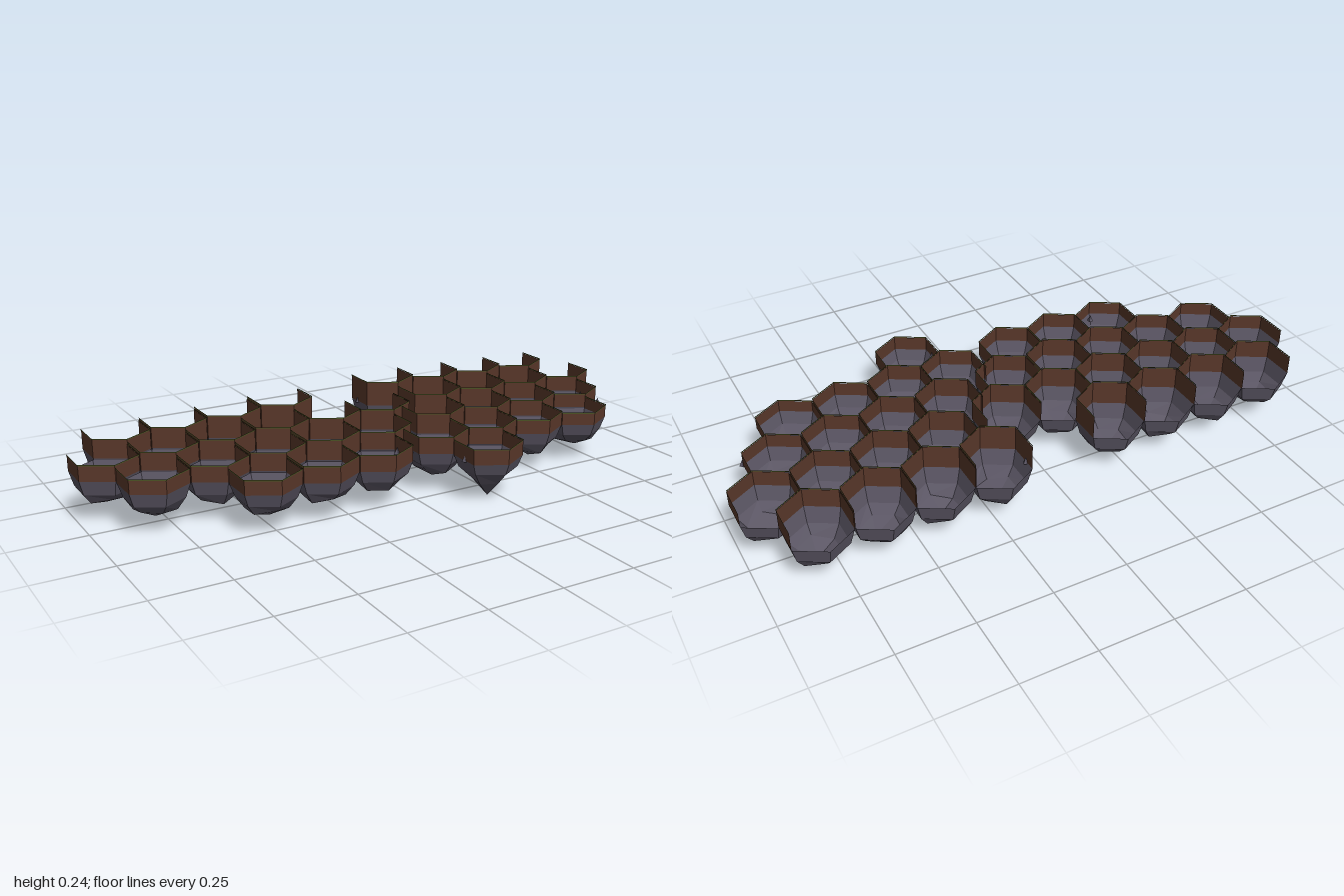
import * as THREE from 'three';

const R = 0.111, STEP = 0.1953;

const mat = (name, color) => new THREE.MeshStandardMaterial({
  name, color, flatShading: true, side: THREE.DoubleSide, roughness: 1,
});

// Rows of hexagonal cells: z, first x, count
const ROWS = [
  [-0.29, -0.805, 4], [-0.123, -0.903, 6], [0.045, -0.805, 5], [0.213, -0.512, 3],
  [-0.335, 0.22, 4], [-0.168, 0.317, 4], [0, 0.22, 4], [0.168, 0.122, 4], [0.335, 0.22, 1],
];

// Cells whose rock ends in a deep point, as "row,column"
const DEEP = ['1,1', '2,2', '6,0', '8,0'];

// Small chips of stone stuck on the outer walls: x, y, z
const CHIPS = [
  [0.9, 0.145, 0.07], [0.885, 0.15, -0.01], [0.81, 0.14, 0.15], [-0.03, 0.15, 0.18],
  [0.025, 0.145, 0.18], [0.125, 0.16, -0.35], [0.125, 0.145, 0.34], [-0.5, 0.14, 0.295],
];

function seeded(seed) {
  return () => (seed = (seed * 16807) % 2147483647) / 2147483647;
}

// Six-sided bowl of rock, closed at a slightly shifted tip
function rockBowl(top, tip, deep, rand) {
  const mid = deep ? 0.06 : 0.068;
  const profile = [[0.0001, tip], [deep ? 0.058 : 0.068, mid], [0.096, 0.1], [R, top]];
  const geo = new THREE.LatheGeometry(profile.map(([r, y]) => new THREE.Vector2(r, y)), 6);
  const p = geo.attributes.position;
  const dx = deep ? 0 : (rand() - 0.5) * 0.03, dz = deep ? 0 : (rand() - 0.5) * 0.03;
  const phase = rand() * 6.28;
  for (let i = 0; i < p.count; i++) {
    const x = p.getX(i), y = p.getY(i), z = p.getZ(i);
    if (y < tip + 0.001) p.setXYZ(i, x + dx, y, z + dz);
    else if (y < mid + 0.001) p.setY(i, y + 0.008 * Math.sin(2 * Math.atan2(z, x) + phase));
  }
  return geo;
}

// Walls stand on four sides of a cell; the two rear sides stay open
function wall(radius, bottom, top) {
  return new THREE.CylinderGeometry(radius, radius, top - bottom, 4, 1, true,
    -Math.PI * 2 / 3, Math.PI * 4 / 3).translate(0, (top + bottom) / 2, 0);
}

export function createModel() {
  const model = new THREE.Group();
  model.name = 'hexIslands';
  const rock = mat('slateRock', 0x5b5664);
  const soil = mat('brownSoil', 0x5a382a);
  const grass = mat('oliveGrass', 0x4c5424);
  const rand = seeded(71);

  const add = (parent, name, geo, material) => {
    const mesh = new THREE.Mesh(geo, material);
    mesh.name = name;
    parent.add(mesh);
    return mesh;
  };

  ROWS.forEach(([z, x0, count], row) => {
    for (let i = 0; i < count; i++) {
      const x = x0 + i * STEP;
      const cell = new THREE.Group();
      cell.name = 'hexCell';
      cell.position.set(x, 0, z);
      model.add(cell);

      // Ground falls toward the front and the outer ends
      const top = 0.217 - 0.079 * z - 0.035 * Math.abs(Math.abs(x) - 0.22);
      const rim = 0.146 - 0.025 * z;
      const deep = DEEP.includes(`${row},${i}`);
      const tip = row === 8 ? 0 : deep ? 0.008 : 0.03 + rand() * 0.02;
      add(cell, 'rockBowl', rockBowl(rim, tip, deep, rand), rock);
      add(cell, 'soilWall', wall(R, rim, top - 0.004), soil);
      add(cell, 'grassEdge', wall(R + 0.001, top - 0.004, top), grass);
    }
  });

  // Stone chips
  CHIPS.forEach(([x, y, z], i) => {
    const chip = add(model, 'stoneChip', new THREE.ConeGeometry(0.011, 0.022, 4), rock);
    chip.position.set(x, y, z);
    chip.rotation.y = i;
  });
  return model;
}
